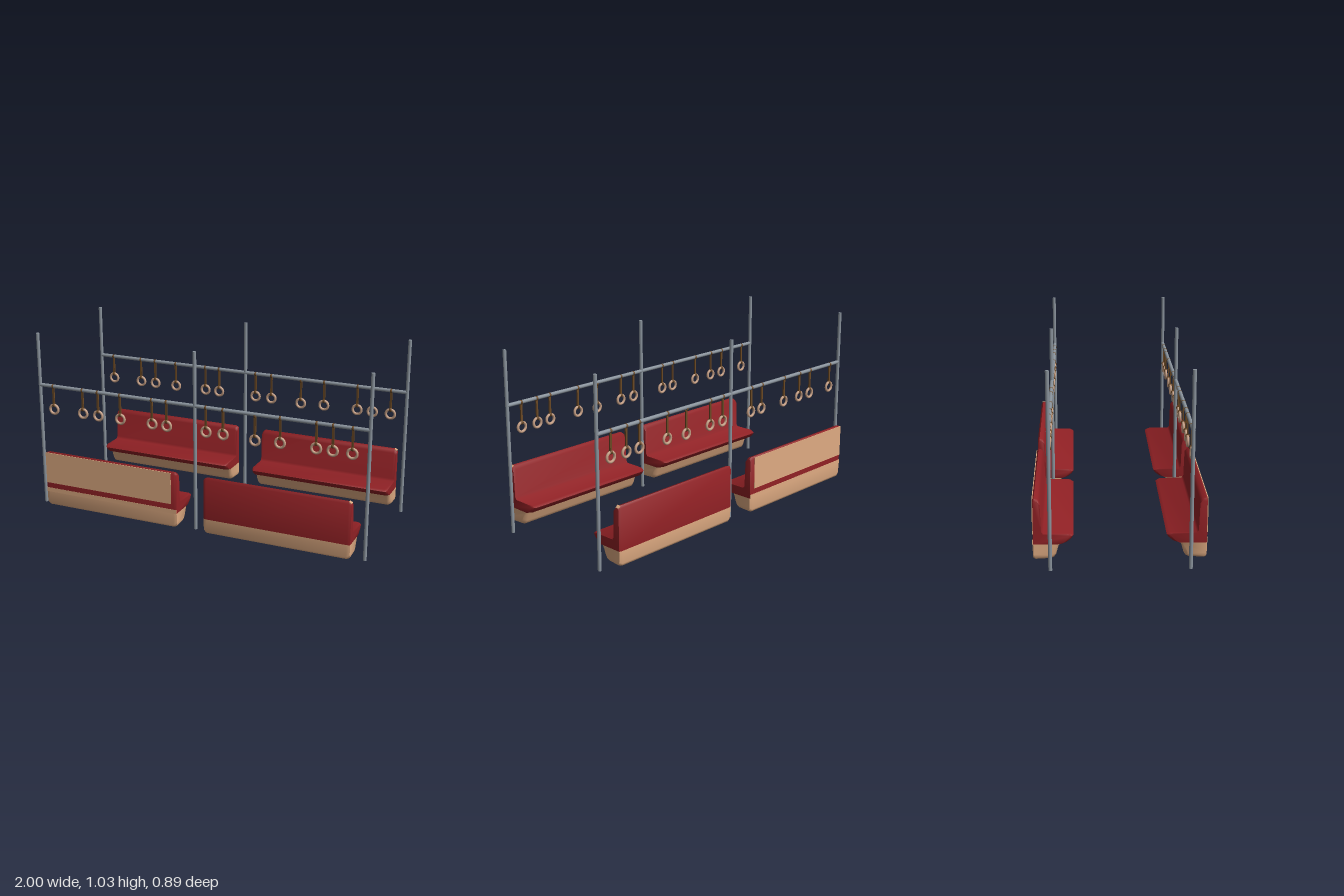
import * as THREE from 'three';
import { toCreasedNormals } from 'three/addons/utils/BufferGeometryUtils.js';

const mat = (name, color) => {
  const m = new THREE.MeshStandardMaterial({ color });
  m.name = name;
  return m;
};

// Lofts a closed [depth, height] profile along x; the end rings are pulled in by a rule.
// Profiles run up the outer face, across, and down the inner face.
function loftAlongX(profile, half, bevel, inset) {
  const n = profile.length;
  const ends = profile.map(inset);
  const mid = profile.map(([d, y], i) => [d + (ends[i][0] - d) * 0.4, y + (ends[i][1] - y) * 0.4]);
  const sections = [
    [-half, ends], [-half + bevel * 0.4, mid], [-half + bevel, profile],
    [half - bevel, profile], [half - bevel * 0.4, mid], [half, ends],
  ];
  const last = sections.length - 1;
  const pos = [];
  const idx = [];
  for (const [x, ring] of sections) for (const [d, y] of ring) pos.push(x, y, d);
  for (let s = 0; s < last; s++) {
    for (let j = 0; j < n; j++) {
      const k = (j + 1) % n;
      const a = s * n + j, b = s * n + k, c = (s + 1) * n + k, e = (s + 1) * n + j;
      idx.push(a, e, c, a, c, b);
    }
  }
  // End caps
  const flat = ends.map(([d, y]) => new THREE.Vector2(-d, y));
  for (const [a, b, c] of THREE.ShapeUtils.triangulateShape(flat, [])) {
    const ccw = THREE.ShapeUtils.area([flat[a], flat[b], flat[c]]) > 0;
    const [p, q] = ccw ? [b, c] : [c, b];
    idx.push(last * n + a, last * n + p, last * n + q, a, q, p);
  }
  const g = new THREE.BufferGeometry();
  g.setAttribute('position', new THREE.Float32BufferAttribute(pos, 3));
  g.setIndex(idx);
  return toCreasedNormals(g, 1.0);
}

export function createModel() {
  const red = mat('red upholstery', 0x8f2024);
  const tan = mat('tan shell', 0xdfab82);
  const steel = mat('steel', 0x89929b);
  const strapBrown = mat('brown strap', 0x6a4824);
  const ringTan = mat('ring tan', 0xc49e84);

  const model = new THREE.Group();
  model.name = 'carriageInterior';
  const add = (parent, name, geo, material, x = 0, y = 0, z = 0) => {
    const m = new THREE.Mesh(geo, material);
    m.name = name;
    m.position.set(x, y, z);
    parent.add(m);
    return m;
  };

  // Bench cross-sections: depth from the aisle centre, height
  const cushionGeo = loftAlongX([
    [0.445, 0.112], [0.445, 0.345], [0.435, 0.356], [0.417, 0.351], [0.405, 0.335], [0.4, 0.178],
    [0.39, 0.165], [0.252, 0.165], [0.237, 0.155], [0.248, 0.138], [0.272, 0.119], [0.305, 0.112],
  ], 0.422, 0.016, ([d, y]) => [
    d > 0.44 ? d - 0.004 : d < 0.3 ? d + 0.018 : d,
    y > 0.33 ? y - 0.011 : y,
  ]);
  const baseGeo = loftAlongX([
    [0.445, 0.112], [0.305, 0.112], [0.314, 0.095], [0.325, 0.055], [0.335, 0.038], [0.353, 0.029],
    [0.43, 0.025], [0.441, 0.03], [0.445, 0.042],
  ], 0.422, 0.02, ([d, y]) => [
    d > 0.44 ? d - 0.004 : d < 0.36 ? d + 0.014 : d,
    y < 0.06 ? y + 0.014 : y,
  ]);

  // Four benches, two on each side, backs outward
  for (const side of [1, -1]) {
    for (const cx of [-0.5, 0.51]) {
      const bench = new THREE.Group();
      bench.name = (cx < 0 ? 'right' : 'left') + (side > 0 ? 'FrontBench' : 'RearBench');
      bench.position.x = cx;
      bench.rotation.y = side > 0 ? 0 : Math.PI;
      add(bench, 'seatAndBackrest', cushionGeo, red);
      add(bench, 'benchBase', baseGeo, tan);
      if (cx < 0) {
        // Tan plates on the outer face, leaving a red stripe between them
        add(bench, 'backPanel', new THREE.BoxGeometry(0.81, 0.185, 0.004), tan, -0.015 * side, 0.2585, 0.444);
        add(bench, 'lowerPanel', new THREE.BoxGeometry(0.84, 0.025, 0.004), tan, 0, 0.1225, 0.444);
      } else {
        // Small pale chip at the top end corner
        const chip = add(bench, 'cornerChip', new THREE.BoxGeometry(0.018, 0.004, 0.02), tan, 0.414 * side, 0.351, 0.43);
        chip.rotation.z = -0.62 * side;
      }
      model.add(bench);
    }
  }

  // Poles, hand rails and hanging grips
  const poleGeo = new THREE.CylinderGeometry(0.01, 0.01, 1.035, 16);
  const railGeo = new THREE.CylinderGeometry(0.0105, 0.0105, 1.98, 16).rotateZ(Math.PI / 2);
  const loopGeo = new THREE.TorusGeometry(0.0105, 0.002, 8, 20).rotateY(Math.PI / 2).scale(3, 1, 1);
  const strapGeo = new THREE.BoxGeometry(0.012, 0.104, 0.008);
  const clipGeo = new THREE.TorusGeometry(0.009, 0.003, 8, 16).rotateY(Math.PI / 2).scale(2.4, 1, 1);
  const ringGeo = new THREE.TorusGeometry(0.0265, 0.0075, 10, 24);
  const gripX = [-0.904, -0.711, -0.611, -0.468, -0.267, -0.176, 0.064, 0.166, 0.353, 0.497, 0.7, 0.791, 0.898];

  for (const z of [0.355, -0.355]) {
    const row = new THREE.Group();
    row.name = z > 0 ? 'frontRailing' : 'rearRailing';
    row.position.z = z;
    for (const x of [-0.99, -0.002, 0.99]) add(row, 'pole', poleGeo, steel, x, 0.5175, 0);
    add(row, 'handRail', railGeo, steel, 0, 0.729, 0);
    for (const x of gripX) {
      const grip = new THREE.Group();
      grip.name = 'hangingGrip';
      grip.position.set(x, x === 0.353 ? 0.721 : 0.728, 0);
      add(grip, 'strapLoop', loopGeo, strapBrown);
      add(grip, 'strap', strapGeo, strapBrown, 0, -0.06, 0);
      add(grip, 'strapClip', clipGeo, strapBrown, 0, -0.113, 0);
      add(grip, 'gripRing', ringGeo, ringTan, 0, -0.139, 0);
      row.add(grip);
    }
    model.add(row);
  }
  return model;
}
